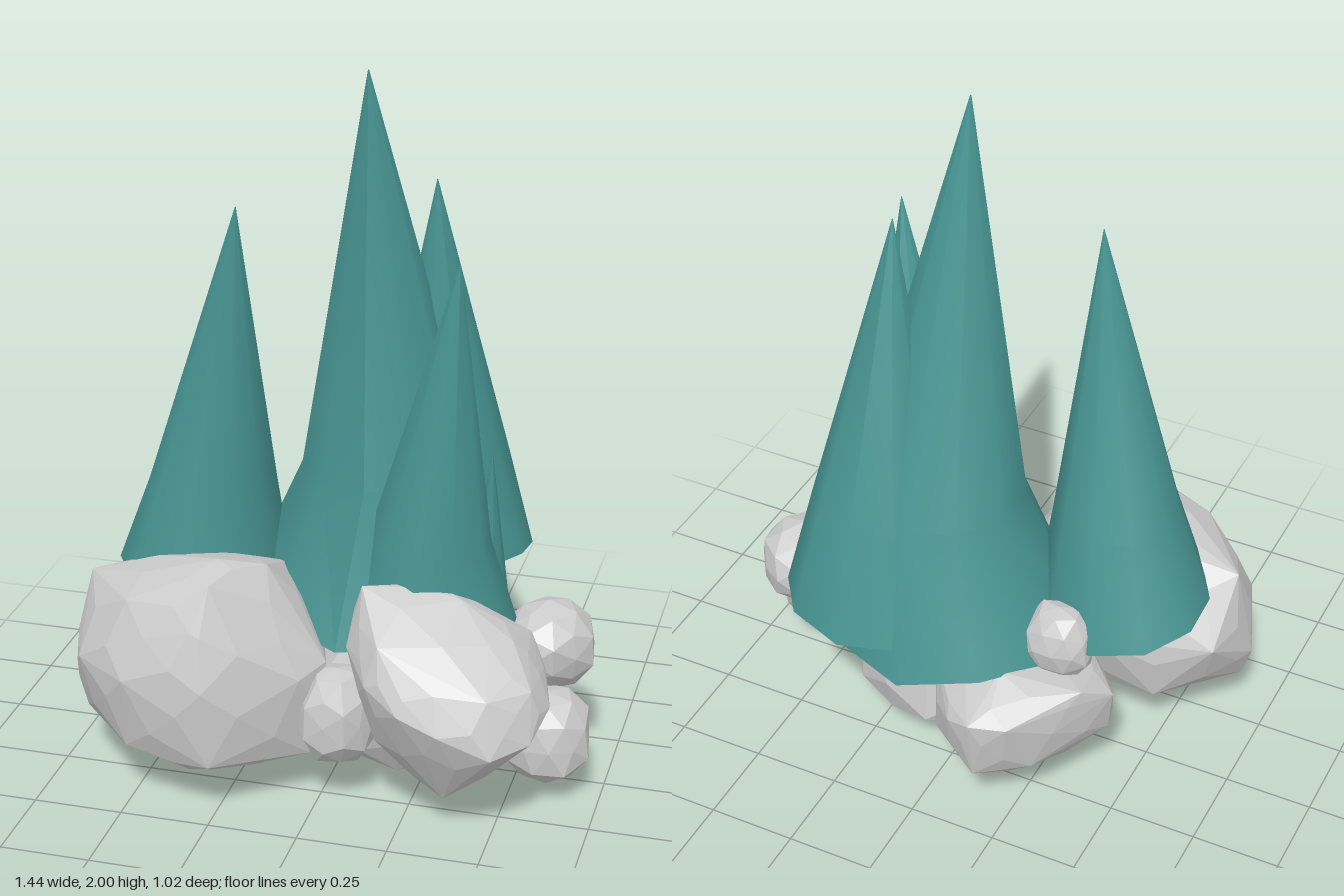
import * as THREE from 'three';
import { toCreasedNormals } from 'three/addons/utils/BufferGeometryUtils.js';
import { ConvexGeometry } from 'three/addons/geometries/ConvexGeometry.js';

const crystalMaterial = new THREE.MeshStandardMaterial({ color: 0x479492 });
const rockMaterial = new THREE.MeshStandardMaterial({ color: 0xcccccc, flatShading: true });

// Repeatable noise in -1..1
const noise = (a, b, c) => {
  const s = Math.sin(a * 12.99 + b * 78.23 + c * 37.72) * 43758.5453;
  return 2 * (s - Math.floor(s)) - 1;
};

// Leaning cone: flared lower edge, hollowed-in underside, uneven rim.
// waist is the relative radius above the flare, bend shifts it sideways
function crystal(name, apex, base, radius, depth, waist, seed, bend = [0, 0]) {
  const sides = 10;
  const profile = [[0.02, -1], [1, 0], [waist, 0.26], [0.004, 1]]
    .map(([r, t]) => new THREE.Vector2(r, t));
  const geometry = new THREE.LatheGeometry(profile, sides);
  const p = geometry.attributes.position;
  for (let i = 0; i < p.count; i++) {
    const column = Math.floor(i / profile.length) % sides;
    const t = p.getY(i);
    const lean = Math.max(t, 0);
    const wobble = 1 + 0.05 * noise(column, seed, 1);
    const rim = t === 0 ? 0.035 * noise(column, seed, 2) : 0;
    const shift = t > 0 && t < 1 ? 1 : 0;
    p.setXYZ(i,
      base[0] + (apex[0] - base[0]) * lean + p.getX(i) * radius[0] * wobble + bend[0] * shift,
      t < 0 ? base[1] - depth : base[1] + (apex[1] - base[1]) * t + rim,
      base[2] + (apex[2] - base[2]) * lean + p.getZ(i) * radius[1] * wobble + bend[1] * shift);
  }
  const mesh = new THREE.Mesh(toCreasedNormals(geometry, 0.8), crystalMaterial);
  mesh.name = name;
  return mesh;
}

// Chipped pebble fitted between two corners
function pebble(name, min, max, seed, power = 2.4) {
  const geometry = new THREE.IcosahedronGeometry(1, 1);
  const p = geometry.attributes.position;
  const v = new THREE.Vector3();
  const key = (n) => Math.round(n * 1000) / 1000;
  for (let i = 0; i < p.count; i++) {
    v.fromBufferAttribute(p, i);
    const n = noise(key(v.x) + seed, key(v.y), key(v.z));
    const sum = Math.abs(v.x) ** power + Math.abs(v.y) ** power + Math.abs(v.z) ** power;
    v.multiplyScalar(sum ** (-1 / power) * (1 + 0.06 * n));
    p.setXYZ(i, v.x, v.y, v.z);
  }
  geometry.rotateY(seed);
  geometry.computeBoundingBox();
  const box = geometry.boundingBox;
  const size = box.getSize(new THREE.Vector3());
  geometry.translate(-box.min.x, -box.min.y, -box.min.z);
  geometry.scale(...['x', 'y', 'z'].map((a, i) => (max[i] - min[i]) / size[a]));
  geometry.translate(...min);
  geometry.computeVertexNormals();
  const mesh = new THREE.Mesh(geometry, rockMaterial);
  mesh.name = name;
  return mesh;
}

// Boulder spanned by its corners, each face swelling a little at its middle
function boulder(name, corners) {
  const points = corners.map((c) => new THREE.Vector3(...c));
  const hull = new ConvexGeometry(points).attributes.position;
  const face = new THREE.Triangle();
  for (let i = 0; i < hull.count; i += 3) {
    face.setFromAttributeAndIndices(hull, i, i + 1, i + 2);
    const swell = 0.07 * Math.sqrt(face.getArea());
    const normal = face.getNormal(new THREE.Vector3());
    points.push(face.getMidpoint(new THREE.Vector3()).addScaledVector(normal, swell));
  }
  const mesh = new THREE.Mesh(new ConvexGeometry(points), rockMaterial);
  mesh.name = name;
  return mesh;
}

export function createModel() {
  const model = new THREE.Group();
  model.name = 'crystalCluster';

  // Crystals: apex, base centre, radii, underside depth, waist, seed, bend
  const crystals = new THREE.Group();
  crystals.name = 'crystals';
  crystals.add(
    crystal('tallCrystal', [0.07, 2, 0.03], [0.04, 0.47, -0.13], [0.37, 0.37], 0.12, 0.65, 1, [0.04, -0.03]),
    crystal('rightCrystal', [-0.26, 1.64, 0.13], [-0.41, 0.55, 0.01], [0.24, 0.24], 0.1, 0.72, 2),
    crystal('backCrystal', [0.22, 1.68, -0.12], [0.22, 0.56, -0.26], [0.25, 0.25], 0.06, 0.75, 3),
    crystal('frontCrystal', [0.35, 1.55, 0.17], [0.25, 0.43, 0.04], [0.24, 0.23], 0.12, 0.69, 4, [-0.02, 0]),
    crystal('smallCrystal', [0.41, 0.97, 0], [0.38, 0.27, -0.08], [0.11, 0.16], 0.1, 0.62, 5),
  );

  const rocks = new THREE.Group();
  rocks.name = 'rocks';

  // Large boulders, corners listed from bottom to top
  rocks.add(
    boulder('frontRightBoulder', [
      [-0.45, 0.12, 0.32], [-0.2, 0.12, 0.36], [-0.32, 0.13, 0.44], [-0.4, 0.13, 0.1], [-0.1, 0.14, 0.12],
      [-0.68, 0.18, 0.25], [-0.5, 0.18, 0.44], [-0.25, 0.17, 0.49], [-0.02, 0.15, 0.3], [-0.5, 0.2, 0.03],
      [-0.72, 0.3, 0.22], [-0.65, 0.4, 0.38], [-0.49, 0.4, 0.49], [-0.26, 0.4, 0.51], [-0.03, 0.4, 0.36],
      [0.02, 0.42, 0.27], [-0.05, 0.42, 0.05], [-0.35, 0.4, -0.03], [-0.66, 0.4, 0.06],
      [-0.67, 0.58, 0.2], [-0.5, 0.6, 0.4], [-0.3, 0.56, 0.47], [-0.15, 0.6, 0.05],
      [-0.45, 0.64, 0.15], [-0.26, 0.68, 0.42], [-0.15, 0.68, 0.25], [-0.26, 0.72, 0.33],
    ]),
    boulder('frontLeftBoulder', [
      [0.3, 0.08, 0.25], [0.45, 0.13, 0.27], [0.37, 0.1, 0.36], [0.45, 0.2, 0.08], [0.18, 0.25, 0.36],
      [0.55, 0.27, 0.35], [0.2, 0.3, 0.1], [0.52, 0.3, 0.48], [0.61, 0.32, 0.4], [0.38, 0.36, 0.5],
      [0.5, 0.35, 0.04], [0.64, 0.38, 0.29], [0.27, 0.4, 0.49], [0.6, 0.42, 0.15], [0.25, 0.45, 0.04],
      [0.17, 0.45, 0.44], [0.6, 0.45, 0.35], [0.5, 0.45, 0.44], [0.09, 0.5, 0.32], [0.55, 0.5, 0.1],
      [0.53, 0.54, 0.25], [0.2, 0.56, 0.42], [0.1, 0.6, 0.2], [0.38, 0.63, 0.22], [0.3, 0.65, 0.18],
      [0.12, 0.66, 0.27],
    ]),
    boulder('backBoulder', [
      [-0.22, 0.06, -0.25], [-0.3, 0.09, -0.2], [-0.12, 0.08, -0.32], [-0.1, 0.15, -0.05],
      [-0.18, 0.2, -0.48], [-0.32, 0.22, -0.4], [-0.46, 0.26, -0.2], [-0.4, 0.2, -0.05], [0, 0.2, -0.35],
      [-0.18, 0.4, -0.51], [-0.28, 0.4, -0.48], [-0.1, 0.36, -0.47], [-0.48, 0.4, -0.22],
      [-0.3, 0.4, -0.02], [0.02, 0.4, -0.3], [-0.42, 0.45, -0.3], [-0.2, 0.48, -0.35],
    ]),
  );

  // Pebbles: lowest corner, highest corner, seed
  rocks.add(
    pebble('frontPebble', [-0.05, 0.13, 0.18], [0.16, 0.41, 0.38], 3),
    pebble('upperSidePebble', [0.44, 0.26, -0.2], [0.7, 0.52, 0.08], 4),
    pebble('lowerSidePebble', [0.46, 0.05, -0.06], [0.72, 0.31, 0.2], 5),
    pebble('bottomBoulder', [-0.1, 0, -0.28], [0.38, 0.4, 0.2], 6),
    pebble('wedgedPebble', [-0.41, 0.42, -0.29], [-0.21, 0.64, -0.12], 8),
  );

  model.add(crystals, rocks);
  return model;
}
